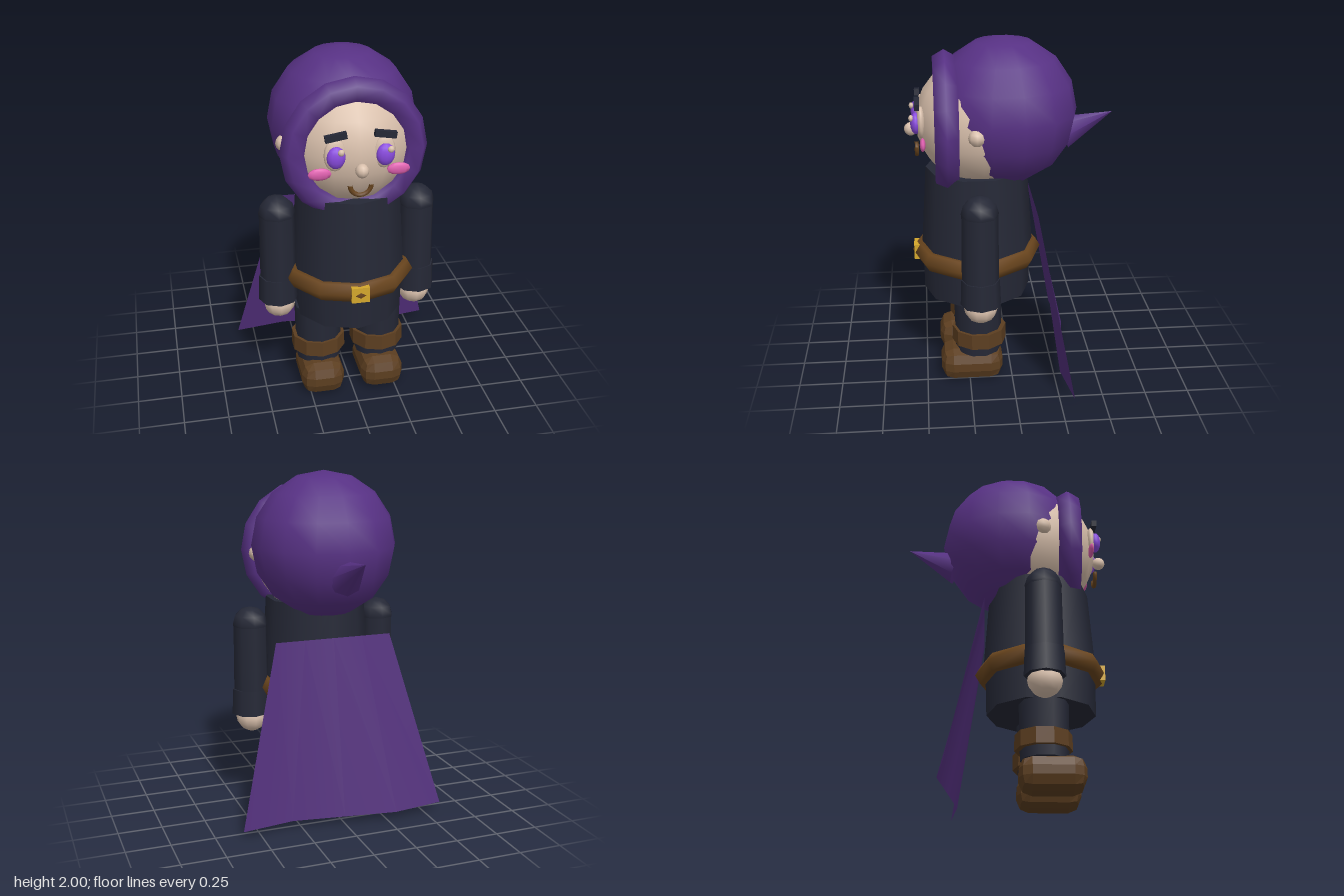
import * as THREE from 'three';
import { RoundedBoxGeometry } from 'three/addons/geometries/RoundedBoxGeometry.js';

export function createModel() {
  const model = new THREE.Group();
  const mat = (name, color, extra = {}) =>
    Object.assign(new THREE.MeshStandardMaterial({ color, ...extra }), { name });
  const skin = mat('skin', 0xd9c0ac);
  const purple = mat('hoodPurple', 0x573184);
  const capePurple = mat('capePurple', 0x512e7a, { side: THREE.DoubleSide });
  const cloth = mat('darkCloth', 0x252836);
  const belt = mat('beltBrown', 0x68441d);
  const boot = mat('bootBrown', 0x5c3e20, { flatShading: true });
  const gold = mat('gold', 0xd4a72c);
  const violet = mat('eyeViolet', 0x8a4be0);
  const pink = mat('cheekPink', 0xe060b0);

  const add = (name, geometry, material, x, y, z) => {
    const mesh = new THREE.Mesh(geometry, material);
    mesh.name = name;
    mesh.position.set(x, y, z);
    model.add(mesh);
    return mesh;
  };
  // ball turned so that a vertex column faces the front
  const ball = (rx, ry, rz, w = 14, h = 8) =>
    new THREE.SphereGeometry(1, w, h).rotateY(Math.PI / 2).scale(rx, ry, rz);
  // straight-sided part between two heights
  const tube = (name, material, rTop, rBottom, y0, y1, x, z, sides) =>
    add(name, new THREE.CylinderGeometry(rTop, rBottom, y1 - y0, sides), material, x, (y0 + y1) / 2, z);

  // tunic, skirt and belt
  const Z = 0.19;
  tube('tunic', cloth, 0.29, 0.325, 0.74, 1.255, 0, Z - 0.005, 10);
  tube('tunicSkirt', cloth, 0.315, 0.308, 0.5, 0.745, 0, Z, 10);
  add('belt', new THREE.TorusGeometry(0.315, 0.06, 6, 10).rotateX(Math.PI / 2).rotateY(Math.PI / 2),
    belt, 0, 0.743, Z);
  add('buckle', new THREE.BoxGeometry(0.1, 0.09, 0.05), gold, 0, 0.745, 0.53);

  // head, hood, rim and hood point
  add('head', ball(0.37, 0.37, 0.37, 16, 12), skin, 0, 1.53, 0.155);
  add('hood', ball(0.415, 0.418, 0.415), purple, 0, 1.582, 0.03);
  add('hoodRim', new THREE.TorusGeometry(0.325, 0.075, 6, 16), purple, 0, 1.525, 0.355);
  const base = new THREE.Vector3(0, 1.437, -0.305);
  const tip = new THREE.Vector3(0, 1.555, -0.59);
  const axis = tip.clone().sub(base);
  const mid = base.clone().add(tip).multiplyScalar(0.5);
  add('hoodPoint', new THREE.ConeGeometry(0.1, axis.length(), 8), purple, mid.x, mid.y, mid.z)
    .quaternion.setFromUnitVectors(new THREE.Vector3(0, 1, 0), axis.normalize());

  // nose and smile
  add('nose', ball(0.036, 0.038, 0.038, 10, 8), skin, 0, 1.48, 0.55);
  add('mouth', new THREE.TorusGeometry(0.057, 0.013, 6, 10, Math.PI).rotateZ(Math.PI),
    belt, 0, 1.39, 0.52);

  for (const s of [-1, 1]) {
    // face details
    add('ear', ball(0.048, 0.048, 0.048, 8, 6), skin, s * 0.35, 1.525, 0.197);
    add('eyeball', ball(0.06, 0.09, 0.025, 12, 8), skin, s * 0.13, 1.555, 0.492);
    add('iris', ball(0.05, 0.06, 0.03, 12, 8), violet, s * 0.13, 1.55, 0.52);
    add('eyeGlint', ball(0.018, 0.018, 0.014, 8, 6), skin, s * 0.13 + 0.022, 1.585, 0.545);
    add('cheek', ball(0.065, 0.034, 0.016, 10, 6), pink, s * 0.21, 1.45, 0.485);
    add('eyebrow', new THREE.BoxGeometry(0.115, 0.035, 0.028), cloth, s * 0.13, 1.66, 0.512)
      .rotation.z = -s * 0.16;

    // arm
    const ax = s * 0.4;
    add('shoulder', ball(0.104, 0.1, 0.104, 8, 6), cloth, ax, 1.115, Z);
    tube('arm', cloth, 0.1, 0.104, 0.7, 1.12, ax, Z, 8);
    tube('sleeveCuff', cloth, 0.107, 0.113, 0.575, 0.725, s * 0.405, Z, 8);
    add('hand', ball(0.092, 0.09, 0.095, 10, 8), skin, ax, 0.55, Z);

    // leg
    const lx = s * 0.176;
    tube('trouserLeg', cloth, 0.138, 0.132, 0.178, 0.52, lx, 0.195, 10);
    tube('bootCuff', boot, 0.156, 0.158, 0.235, 0.325, lx, Z, 10);
    add('shoe', new RoundedBoxGeometry(0.25, 0.19, 0.36, 1, 0.07), boot, lx, 0.1, 0.235);
  }

  // cape: straight collar widening to a waved hem
  const cape = new THREE.PlaneGeometry(2, 1, 4, 1);
  const p = cape.attributes.position;
  for (let i = 0; i < p.count; i++) {
    const u = p.getX(i);
    if (p.getY(i) > 0) p.setXYZ(i, u * 0.345, 1.065, -0.135);
    else p.setXYZ(i, u * 0.605, 0.05, -0.325 + 0.045 * Math.sin(u * Math.PI));
  }
  cape.computeVertexNormals();
  add('cape', cape, capePurple, 0, 0, 0);

  return model;
}
